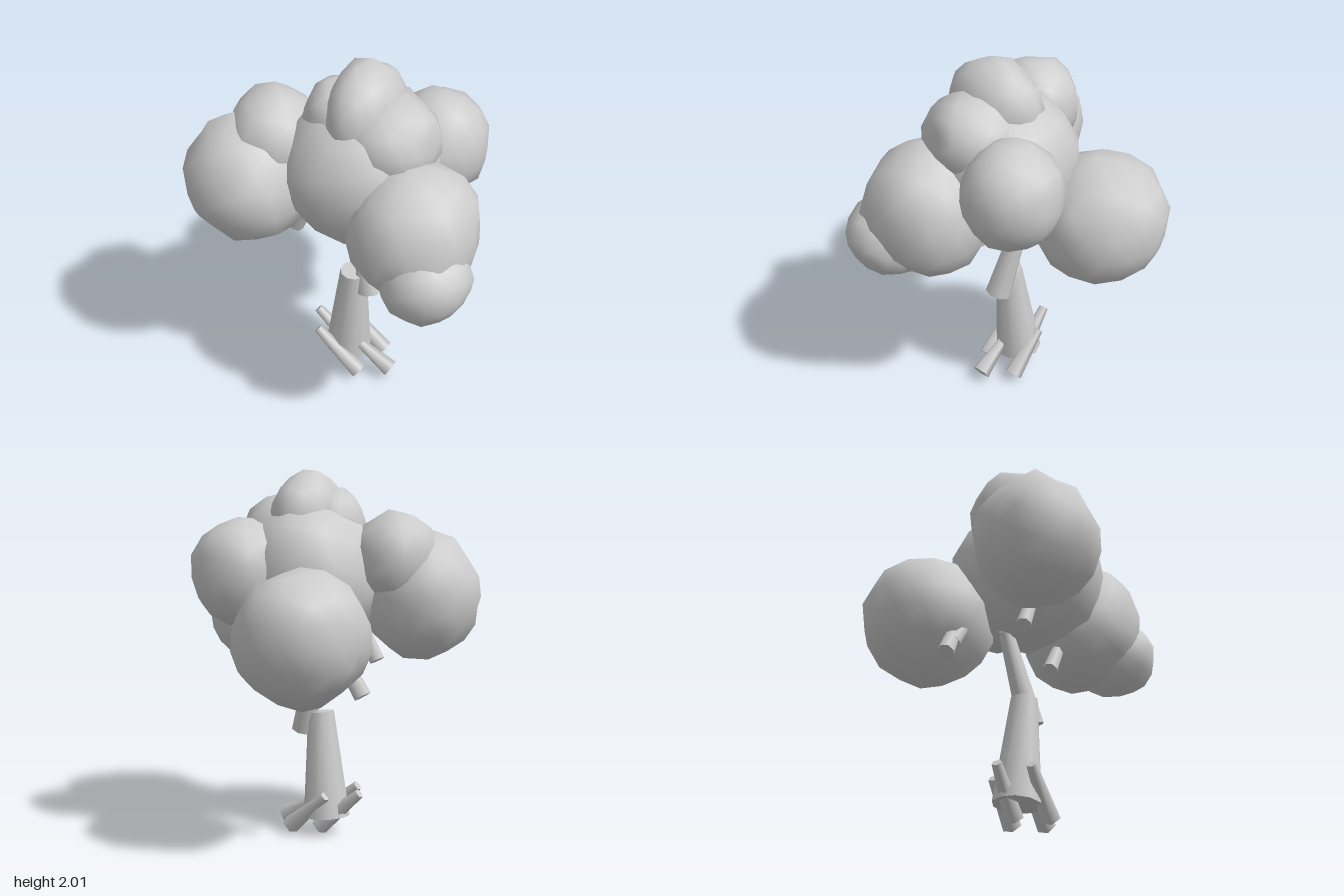
import * as THREE from 'three';
import { mergeVertices } from 'three/addons/utils/BufferGeometryUtils.js';

const grey = new THREE.MeshStandardMaterial({ color: 0xcccccc });
grey.name = 'plain grey';

// Repeatable noise in 0..1
function hash(a, b, c, seed) {
  const s = Math.sin(a * 12.99 + b * 78.23 + c * 37.72 + seed * 5.17) * 43758.55;
  return s - Math.floor(s);
}

// Lumpy leaf ball: centre, radii, direction of its crest
function leafBall(name, centre, radii, crest, seed) {
  const base = new THREE.IcosahedronGeometry(1, 2);
  base.deleteAttribute('normal');
  base.deleteAttribute('uv');
  const geo = mergeVertices(base, 1e-3);
  const turn = new THREE.Euler(seed * 0.7, seed * 1.3, seed * 0.4);
  const peak = new THREE.Vector3(...crest).normalize();
  const p = geo.attributes.position;
  const v = new THREE.Vector3();
  for (let i = 0; i < p.count; i++) {
    v.fromBufferAttribute(p, i);
    const n = hash(Math.round(v.x * 50), Math.round(v.y * 50), Math.round(v.z * 50), seed);
    v.applyEuler(turn);
    const lift = v.dot(peak) > 0.95 ? 0.07 : 0;
    v.multiplyScalar(0.95 + n * 0.09 + lift);
    p.setXYZ(i, v.x * radii[0], v.y * radii[1], v.z * radii[2]);
  }
  geo.computeVertexNormals();
  const mesh = new THREE.Mesh(geo, grey);
  mesh.name = name;
  mesh.position.set(...centre);
  return mesh;
}

// Tapered limb between two points
function limb(name, from, to, r0, r1, sides) {
  const a = new THREE.Vector3(...from), b = new THREE.Vector3(...to);
  const d = b.clone().sub(a);
  const mesh = new THREE.Mesh(new THREE.CylinderGeometry(r1, r0, d.length(), sides), grey);
  mesh.name = name;
  mesh.position.copy(a).add(b).multiplyScalar(0.5);
  mesh.quaternion.setFromUnitVectors(new THREE.Vector3(0, 1, 0), d.normalize());
  return mesh;
}

export function createModel() {
  const tree = new THREE.Group();
  tree.name = 'tree';

  // Trunk in two offset pieces, with a thin tip inside the crown
  tree.add(
    limb('lowerTrunk', [-0.053, 0.1, 0.12], [-0.003, 0.685, 0.145], 0.13, 0.073, 10),
    limb('upperTrunk', [0.1, 0.575, 0.14], [-0.035, 1.1, 0.05], 0.073, 0.04, 8),
    limb('trunkTip', [-0.04, 1.06, 0.04], [0.03, 1.3, 0.06], 0.035, 0.02, 6)
  );

  // Branch stubs under the leaves
  [
    [[-0.395, 0.845, -0.13], [-0.32, 0.965, -0.13], 0.047, 0.043],
    [[-0.33, 0.93, -0.12], [-0.17, 1.2, -0.05], 0.042, 0.03],
    [[-0.29, 0.975, 0.26], [-0.17, 1.2, 0.27], 0.042, 0.032],
    [[0.11, 0.885, 0.25], [0.27, 1.14, 0.27], 0.042, 0.033]
  ].forEach(([a, b, r0, r1]) => tree.add(limb('branch', a, b, r0, r1, 7)));

  // Roots: thick five-sided feet, thin raised ends
  [
    [[0.24, 0.06, 0.165], [0.03, 0.18, 0.16]],
    [[0.08, 0.045, 0.25], [-0.18, 0.258, 0.25]],
    [[0.125, 0.045, 0.02], [-0.1, 0.24, 0.01]],
    [[-0.02, 0.042, 0.09], [-0.265, 0.258, 0.1]]
  ].forEach(([a, b]) => tree.add(limb('root', a, b, 0.053, 0.028, 5)));

  // Crown
  [
    ['middleLeaves', [0.065, 1.435, 0.145], [0.415, 0.415, 0.435], [-0.1, 0.5, -0.8]],
    ['topLeaves', [0.08, 1.74, 0.155], [0.195, 0.26, 0.275], [-0.2, 0.95, 0]],
    ['shoulderLeaves', [0.22, 1.63, 0.17], [0.265, 0.25, 0.27], [0.6, 0.8, 0]],
    ['rightFrontLeaves', [-0.475, 1.325, 0.41], [0.335, 0.345, 0.325], [-0.4, 0.9, 0.1]],
    ['rightUpperLeaves', [-0.385, 1.545, 0.275], [0.24, 0.25, 0.26], [-0.4, 0.9, -0.2]],
    ['leftFrontLeaves', [0.435, 1.255, 0.315], [0.345, 0.37, 0.35], [0.75, 0.65, -0.2]],
    ['leftLowLeaves', [0.575, 1.1, 0.465], [0.235, 0.22, 0.24], [0.7, 0.4, 0.3]],
    ['leftBackLeaves', [0.33, 1.465, -0.155], [0.27, 0.295, 0.275], [0, 0.6, -0.8]],
    ['backLeaves', [-0.16, 1.16, -0.36], [0.36, 0.36, 0.365], [0, 0.5, -0.85]],
    ['rightShoulderLeaves', [-0.035, 1.7, 0.2], [0.19, 0.21, 0.2], [-0.4, 0.9, 0]]
  ].forEach(([name, c, r, crest], i) => tree.add(leafBall(name, c, r, crest, i + 1)));

  return tree;
}
